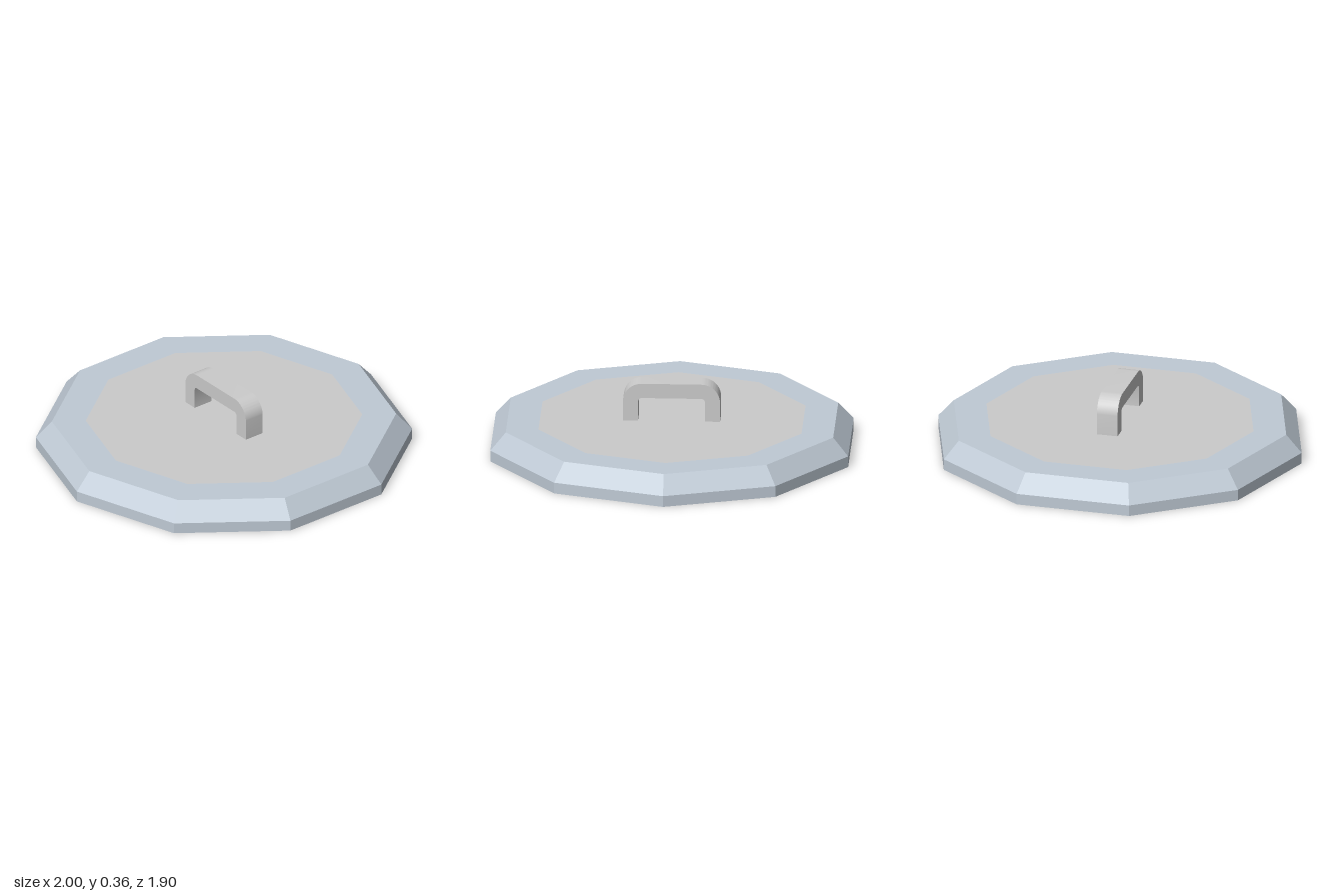
import * as THREE from 'three';
import { toCreasedNormals } from 'three/addons/utils/BufferGeometryUtils.js';

const SIDES = 10;
const TOP = 0.155;

// Half-width, height and corner radius of an upside-down U, traced into a path
function traceArch(shape, w, h, r) {
  shape.lineTo(w, h - r);
  shape.absarc(w - r, h - r, r, 0, Math.PI / 2, false);
  shape.lineTo(-w + r, h);
  shape.absarc(-w + r, h - r, r, Math.PI / 2, Math.PI, false);
  shape.lineTo(-w, TOP);
}

function handleGeometry() {
  const width = 0.114;
  const shape = new THREE.Shape();
  shape.moveTo(0.258, TOP);
  traceArch(shape, 0.258, 0.362, 0.1);
  // Inner edge, walked back from the far leg
  shape.lineTo(-0.178, TOP);
  shape.lineTo(-0.178, 0.262);
  shape.absarc(-0.158, 0.262, 0.02, Math.PI, Math.PI / 2, true);
  shape.lineTo(0.158, 0.282);
  shape.absarc(0.158, 0.262, 0.02, Math.PI / 2, 0, true);
  shape.lineTo(0.178, TOP);
  shape.closePath();
  const geometry = new THREE.ExtrudeGeometry(shape, { depth: width, bevelEnabled: false, curveSegments: 10 });
  geometry.translate(0, 0, -width / 2);
  geometry.rotateY(Math.PI / 2);
  return toCreasedNormals(geometry, Math.PI / 6);
}

export function createModel() {
  const group = new THREE.Group();
  group.name = 'hatchCover';
  const grey = new THREE.MeshStandardMaterial({ color: 0xcccccc });
  const blueGrey = new THREE.MeshStandardMaterial({ color: 0xbfcad5, flatShading: true });

  // Ten-sided rim: flat underside, low wall, sloped edge and flat top border
  const profile = [[0, 0], [1, 0], [1, 0.06], [0.915, TOP], [0.735, TOP]]
    .map(([r, y]) => new THREE.Vector2(r, y));
  const rim = new THREE.Mesh(new THREE.LatheGeometry(profile, SIDES, Math.PI / 2), blueGrey);
  rim.name = 'rim';

  // Centre panel, flush with the border
  const panel = new THREE.Mesh(new THREE.CircleGeometry(0.735, SIDES), grey);
  panel.name = 'centrePanel';
  panel.rotation.x = -Math.PI / 2;
  panel.position.y = TOP;

  // Pull handle running front to back
  const handle = new THREE.Mesh(handleGeometry(), grey);
  handle.name = 'handle';

  group.add(rim, panel, handle);
  return group;
}
